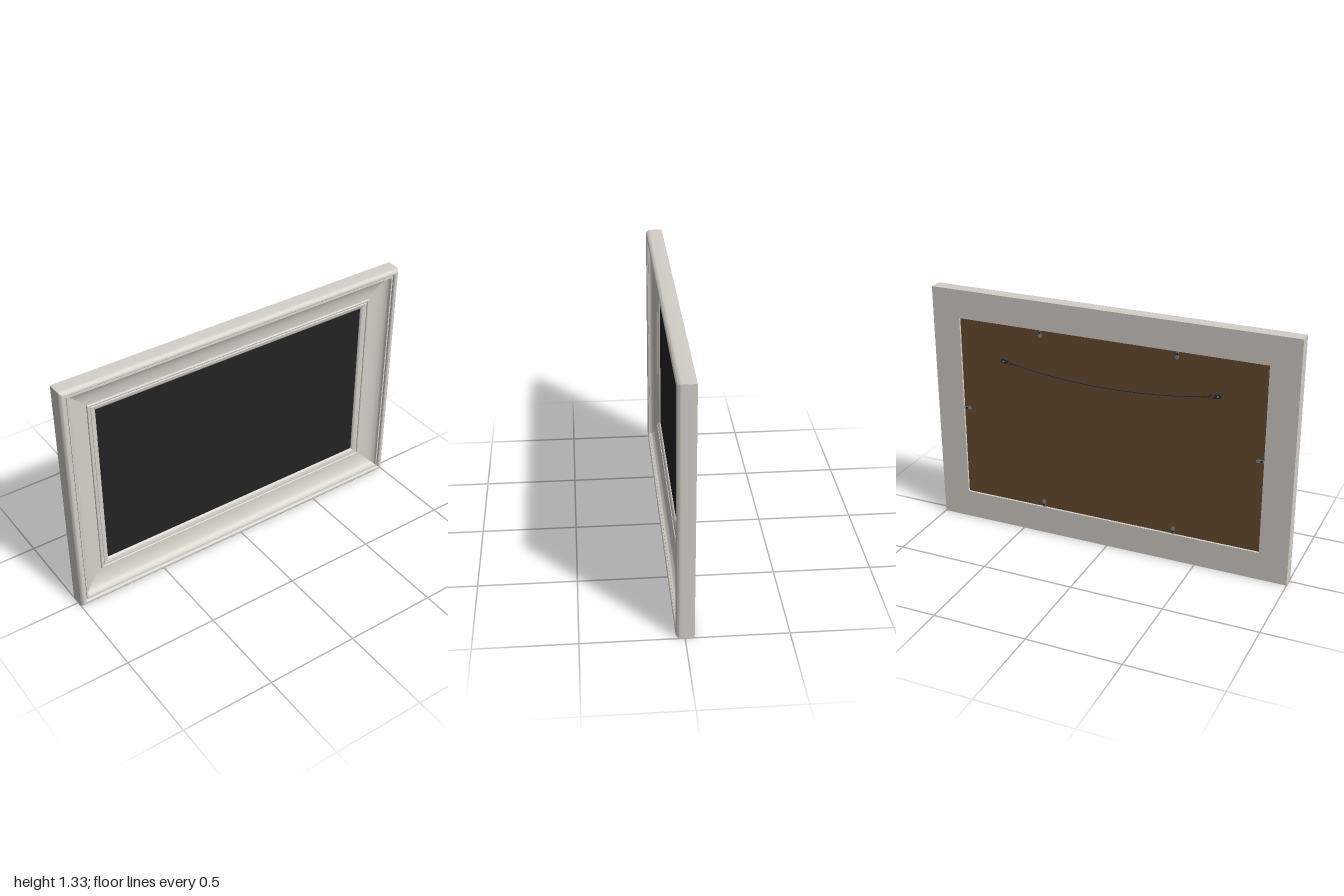
import * as THREE from 'three';
import { toCreasedNormals } from 'three/addons/utils/BufferGeometryUtils.js';

const W = 1, H = 0.666, CY = 0.666; // half width, half height, centre height
const REBATE = 0.155;               // rail width on the back

const mat = (name, color) => {
  const m = new THREE.MeshStandardMaterial({ color });
  m.name = name;
  return m;
};

// Moulding section: [inset from the outer edge, z], from back edge round the front and into the rebate
function mouldingProfile() {
  const p = [[0, -0.045]];
  for (let i = 0; i <= 6; i++) { // rounded outer bead
    const a = (i / 6) * Math.PI / 2;
    p.push([0.02 * (1 - Math.cos(a)), 0.021 + 0.024 * Math.sin(a)]);
  }
  p.push([0.026, 0.043], [0.03, 0.038], [0.031, 0.03], [0.037, 0.03], [0.037, 0.035], [0.044, 0.035]);
  for (let i = 0; i <= 10; i++) { // hollow cove
    const a = (i / 10) * Math.PI / 2;
    p.push([0.154 - 0.109 * Math.cos(a), 0.032 - 0.044 * Math.sin(a)]);
  }
  // small inner bead, then the sloped lip
  p.push([0.154, -0.005], [0.157, -0.002], [0.162, -0.002], [0.165, -0.005], [0.165, -0.009], [0.172, -0.009]);
  for (let i = 0; i <= 5; i++) {
    const a = (i / 5) * Math.PI / 2;
    p.push([0.174 + 0.026 * Math.sin(a), -0.018 + 0.012 * Math.cos(a)]);
  }
  p.push([0.2, -0.025], [REBATE, -0.025], [REBATE, -0.045], [0, -0.045]);
  return p;
}

// One mitred rail between two corners, given as sign pairs
function railGeometry(profile, c0, c1) {
  const pos = [];
  const at = ([sx, sy], [d, z]) => [sx * (W - d), CY + sy * (H - d), z];
  for (let i = 0; i < profile.length - 1; i++) {
    const a = at(c0, profile[i]), b = at(c1, profile[i]);
    const c = at(c1, profile[i + 1]), d = at(c0, profile[i + 1]);
    pos.push(...a, ...b, ...c, ...a, ...c, ...d);
  }
  const g = new THREE.BufferGeometry();
  g.setAttribute('position', new THREE.Float32BufferAttribute(pos, 3));
  return toCreasedNormals(g, 0.55);
}

export function createModel() {
  const model = new THREE.Group();
  model.name = 'pictureFrame';
  const paint = mat('warm white paint', 0xd5d0c9);
  const dark = mat('dark picture', 0x232323);
  const board = mat('brown backing', 0x664c30);
  const steel = mat('steel', 0x858585);
  const black = mat('black metal', 0x2a2a2c);

  const add = (parent, name, geo, material, x = 0, y = 0, z = 0) => {
    const m = new THREE.Mesh(geo, material);
    m.name = name;
    m.position.set(x, y, z);
    parent.add(m);
    return m;
  };

  // Four mitred rails
  const profile = mouldingProfile();
  const corners = [[-1, -1], [1, -1], [1, 1], [-1, 1]];
  ['bottomRail', 'leftRail', 'topRail', 'rightRail'].forEach((name, i) =>
    add(model, name, railGeometry(profile, corners[i], corners[(i + 1) % 4]), paint));

  // Picture and backing board sitting in the rebate
  const pw = 2 * (W - REBATE) - 0.004, ph = 2 * (H - REBATE) - 0.004;
  add(model, 'picture', new THREE.BoxGeometry(pw, ph, 0.006), dark, 0, CY, -0.0232);
  add(model, 'backingBoard', new THREE.BoxGeometry(pw, ph, 0.01), board, 0, CY, -0.0312);

  // Turn buttons that hold the board in
  const turnButton = (x, y, angle) => {
    const g = new THREE.Group();
    g.name = 'turnButton';
    add(g, 'tab', new THREE.BoxGeometry(0.014, 0.04, 0.003), steel, 0, -0.012, 0);
    const tip = add(g, 'tabTip', new THREE.CylinderGeometry(0.01, 0.01, 0.003, 16), steel, 0, -0.03, 0);
    const screw = add(g, 'screw', new THREE.CylinderGeometry(0.006, 0.006, 0.004, 12), black, 0, -0.012, -0.002);
    tip.rotation.x = screw.rotation.x = Math.PI / 2;
    g.position.set(x, y, -0.0385);
    g.rotation.z = angle;
    model.add(g);
  };
  const ex = W - REBATE, ey = H - REBATE;
  for (const s of [-1, 1]) {
    turnButton(s * 0.375, CY + ey - 0.003, 0);
    turnButton(s * 0.375, CY - ey + 0.003, Math.PI);
    turnButton(s * (ex - 0.003), CY, -s * Math.PI / 2);
  }

  // Hangers: plate, ring, screw and the twisted end of the wire
  for (const s of [-1, 1]) {
    const g = new THREE.Group();
    g.name = s > 0 ? 'leftHanger' : 'rightHanger';
    add(g, 'plate', new THREE.BoxGeometry(0.036, 0.022, 0.004), black, 0.008, 0, 0);
    add(g, 'ring', new THREE.TorusGeometry(0.012, 0.0025, 8, 20), black, -0.018, 0, -0.002);
    const screw = add(g, 'screw', new THREE.CylinderGeometry(0.005, 0.005, 0.003, 12), steel, 0.012, 0, -0.003);
    screw.rotation.x = Math.PI / 2;
    const twist = add(g, 'wireTwist', new THREE.CylinderGeometry(0.004, 0.004, 0.045, 8), black, -0.052, 0, -0.002);
    twist.rotation.z = Math.PI / 2;
    g.position.set(s * 0.58, 0.97, -0.038);
    g.rotation.set(0, s > 0 ? 0 : Math.PI, 0.15);
    if (s < 0) g.scale.z = -1;
    model.add(g);
  }

  // Sagging hanging wire
  const pts = [];
  for (let i = -4; i <= 4; i++) {
    const t = i / 4;
    pts.push(new THREE.Vector3(t * 0.555, 0.917 + 0.05 * t * t, -0.04));
  }
  add(model, 'hangingWire', new THREE.TubeGeometry(new THREE.CatmullRomCurve3(pts), 48, 0.0025, 8), black);

  return model;
}
